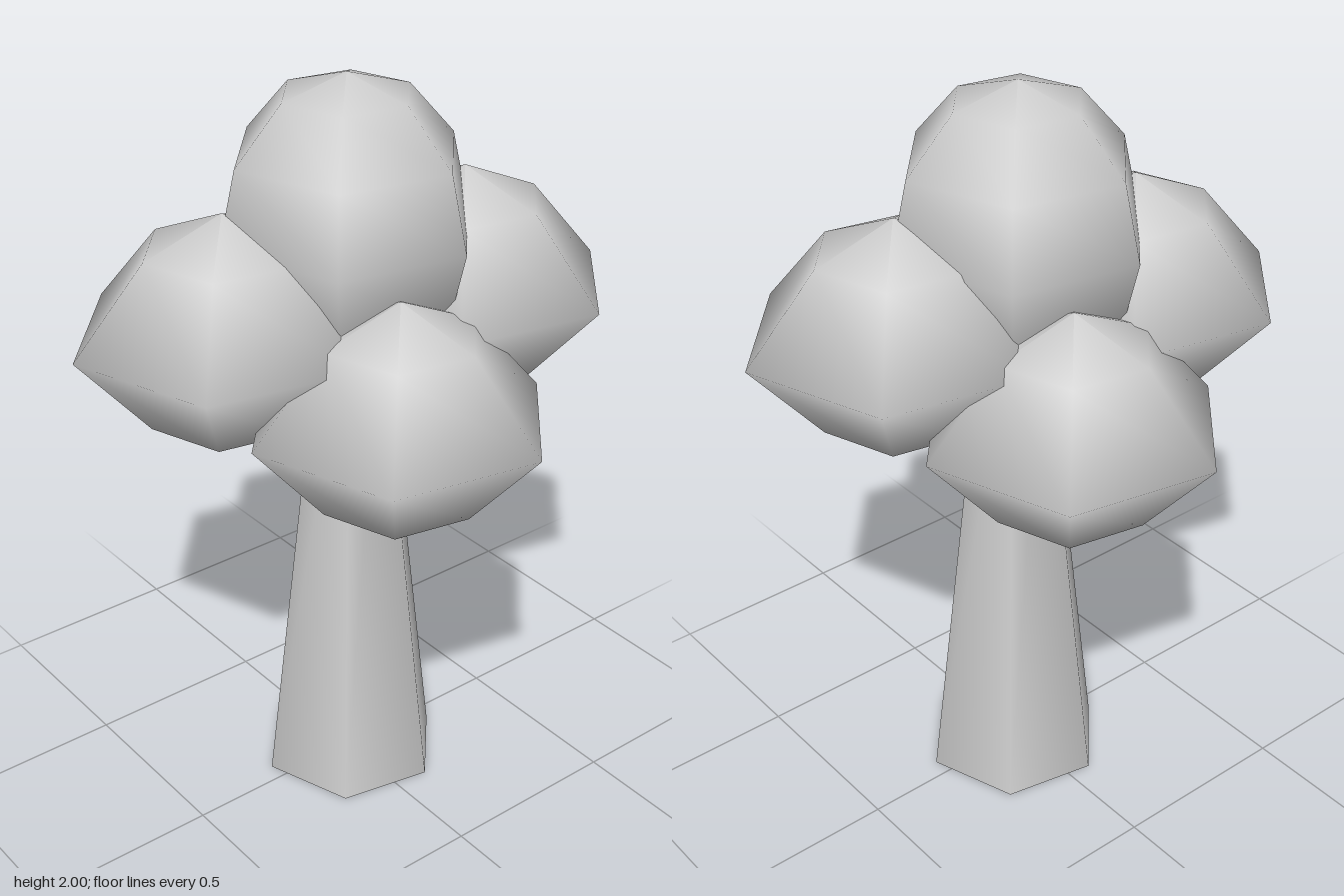
import * as THREE from 'three';

const SIDES = 6;
const TWIST = -0.2; // every part shares the same slight turn about its axis

export function createModel() {
  const tree = new THREE.Group();
  tree.name = 'tree';
  const material = new THREE.MeshStandardMaterial({ color: 0xcccccc });

  function add(name, geometry, x, y, z) {
    const mesh = new THREE.Mesh(geometry, material);
    mesh.name = name;
    mesh.position.set(x, y, z);
    tree.add(mesh);
  }

  // six-sided clump turned from half a profile, mirrored below its equator
  function clump(upper) {
    const lower = upper.slice(1).reverse().map(([r, y]) => [r, -y]);
    const points = [...lower, ...upper].map(([r, y]) => new THREE.Vector2(r, y));
    return new THREE.LatheGeometry(points, SIDES, TWIST, Math.PI * 2);
  }

  // tapered trunk, its top hidden in the foliage
  const trunkHeight = 1.4;
  add('trunk', new THREE.CylinderGeometry(0.085, 0.25, trunkHeight, SIDES, 1, false, TWIST),
    0, trunkHeight / 2, -0.015);

  // rounded crown
  add('topFoliage', clump([[0.34, 0], [0.295, 0.195], [0.17, 0.338], [0, 0.39]]), 0, 1.61, 0);

  // four pointed clumps around the crown
  const sideClump = clump([[0.393, 0], [0.205, 0.222], [0, 0.31]]);
  add('frontFoliage', sideClump, -0.073, 1.39, 0.318);
  add('backFoliage', sideClump, 0.073, 1.405, -0.318);
  add('leftFoliage', sideClump, 0.28, 1.215, 0.058);
  add('rightFoliage', sideClump, -0.283, 1.215, -0.062);

  return tree;
}
